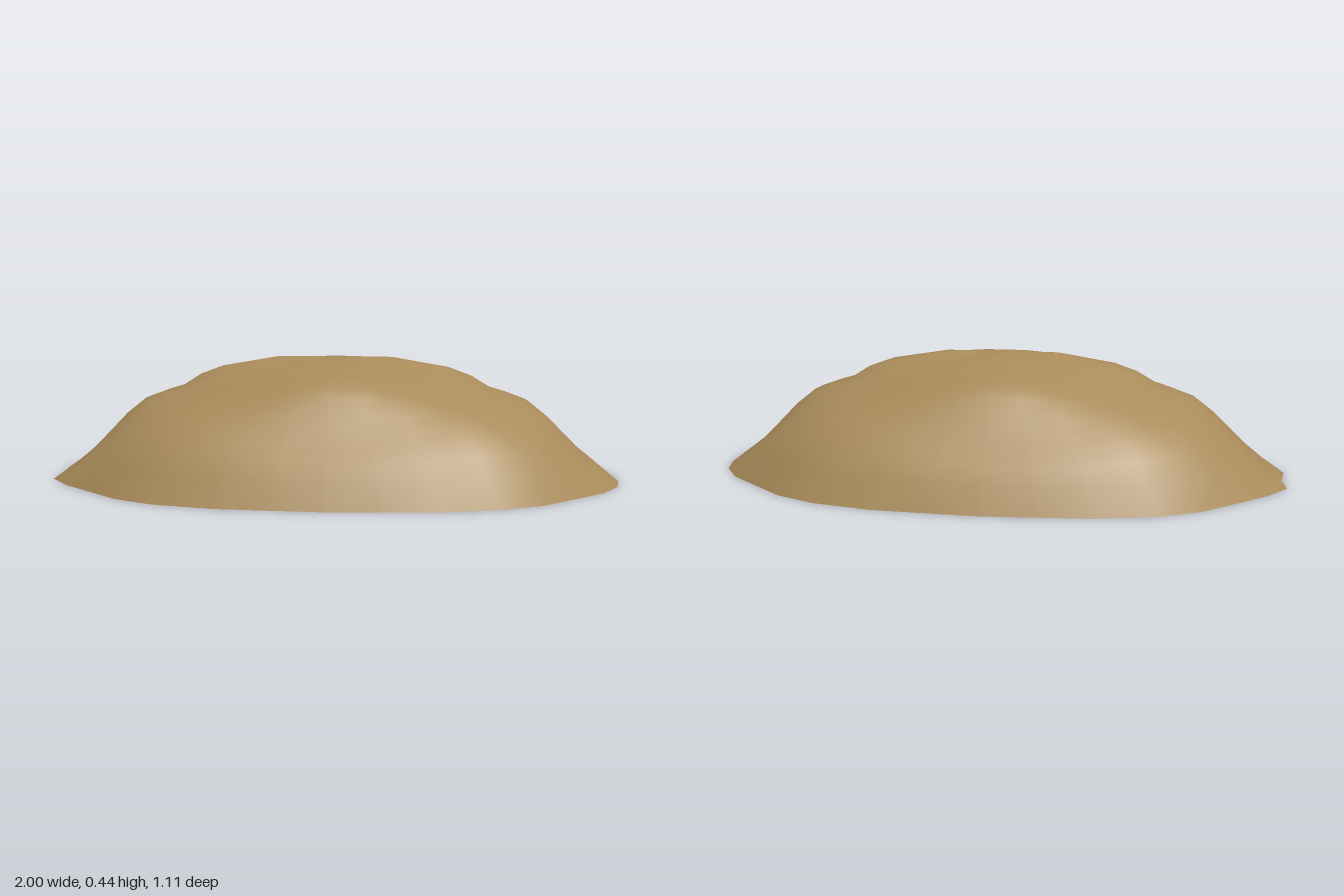
import * as THREE from 'three';

// Quarter of the rim, from the +x end round to the +z side
const QUARTER = [[1, 0], [0.985, 0.1], [0.925, 0.205], [0.82, 0.305], [0.71, 0.41], [0.57, 0.483], [0.36, 0.533], [0.18, 0.545], [0, 0.556]];
// Height by fraction of the way out to the rim: towards the ends, the sides and the corners between
const END = [[0, 0.437], [0.2, 0.435], [0.4, 0.4], [0.48, 0.37], [0.55, 0.325], [0.67, 0.29], [0.75, 0.225], [0.87, 0.1], [1, 0]];
const SIDE = [[0, 0.437], [0.144, 0.43], [0.306, 0.405], [0.52, 0.385], [0.61, 0.34], [0.7, 0.27], [0.775, 0.2], [0.92, 0.11], [1, 0]];
const CORNER = [[0, 0.437], [0.2, 0.42], [0.4, 0.375], [0.55, 0.32], [0.7, 0.268], [0.8, 0.22], [0.87, 0.165], [0.93, 0.1], [1, 0]];
const RINGS = [0, 0.1, 0.2, 0.306, 0.4, 0.48, 0.55, 0.61, 0.68, 0.75, 0.81, 0.87, 0.93, 1];

function sample(profile, t) {
  let i = 1;
  while (i < profile.length - 1 && profile[i][0] < t) i++;
  const [a, ya] = profile[i - 1], [b, yb] = profile[i];
  return THREE.MathUtils.lerp(ya, yb, (t - a) / (b - a));
}

// Blend the three profiles by direction
function heightAt(angle, t) {
  const onAxis = THREE.MathUtils.lerp(sample(END, t), sample(SIDE, t), Math.sin(angle) ** 2);
  return THREE.MathUtils.lerp(onAxis, sample(CORNER, t), Math.sin(2 * angle) ** 2);
}

function rimOutline() {
  const half = [...QUARTER, ...QUARTER.slice(0, -1).reverse().map(([x, z]) => [-x, z])];
  return [...half, ...half.slice(1, -1).reverse().map(([x, z]) => [x, -z])];
}

function shellGeometry() {
  const rim = rimOutline(), n = rim.length;
  const positions = [], index = [];
  RINGS.forEach((t, r) => {
    for (const [rx, rz] of rim) {
      let x = rx * t;
      let y = heightAt(Math.atan2(rz / 0.556, rx), t);
      // Small pinch at the -x end
      if (rx < -0.98 && t > 0.9) {
        if (rz === 0) y *= 0.7;
        if (t === 1) x = rz === 0 ? -0.985 : -1;
      }
      positions.push(x, y, rz * t);
      if (r === 0) break;
    }
  });
  const at = (r, i) => (r === 0 ? 0 : 1 + (r - 1) * n + (i % n));
  for (let r = 1; r < RINGS.length; r++) {
    for (let i = 0; i < n; i++) {
      index.push(at(r - 1, i), at(r, i + 1), at(r, i));
      if (r > 1) index.push(at(r - 1, i), at(r - 1, i + 1), at(r, i + 1));
    }
  }
  const geometry = new THREE.BufferGeometry();
  geometry.setAttribute('position', new THREE.Float32BufferAttribute(positions, 3));
  geometry.setIndex(index);
  geometry.computeVertexNormals();
  return geometry;
}

export function createModel() {
  const group = new THREE.Group();
  const tan = new THREE.MeshStandardMaterial({ color: 0xa98b5a, side: THREE.DoubleSide });
  tan.name = 'tan';
  // Hollow domed shell, open underneath
  const shell = new THREE.Mesh(shellGeometry(), tan);
  shell.name = 'shell';
  group.add(shell);
  return group;
}
